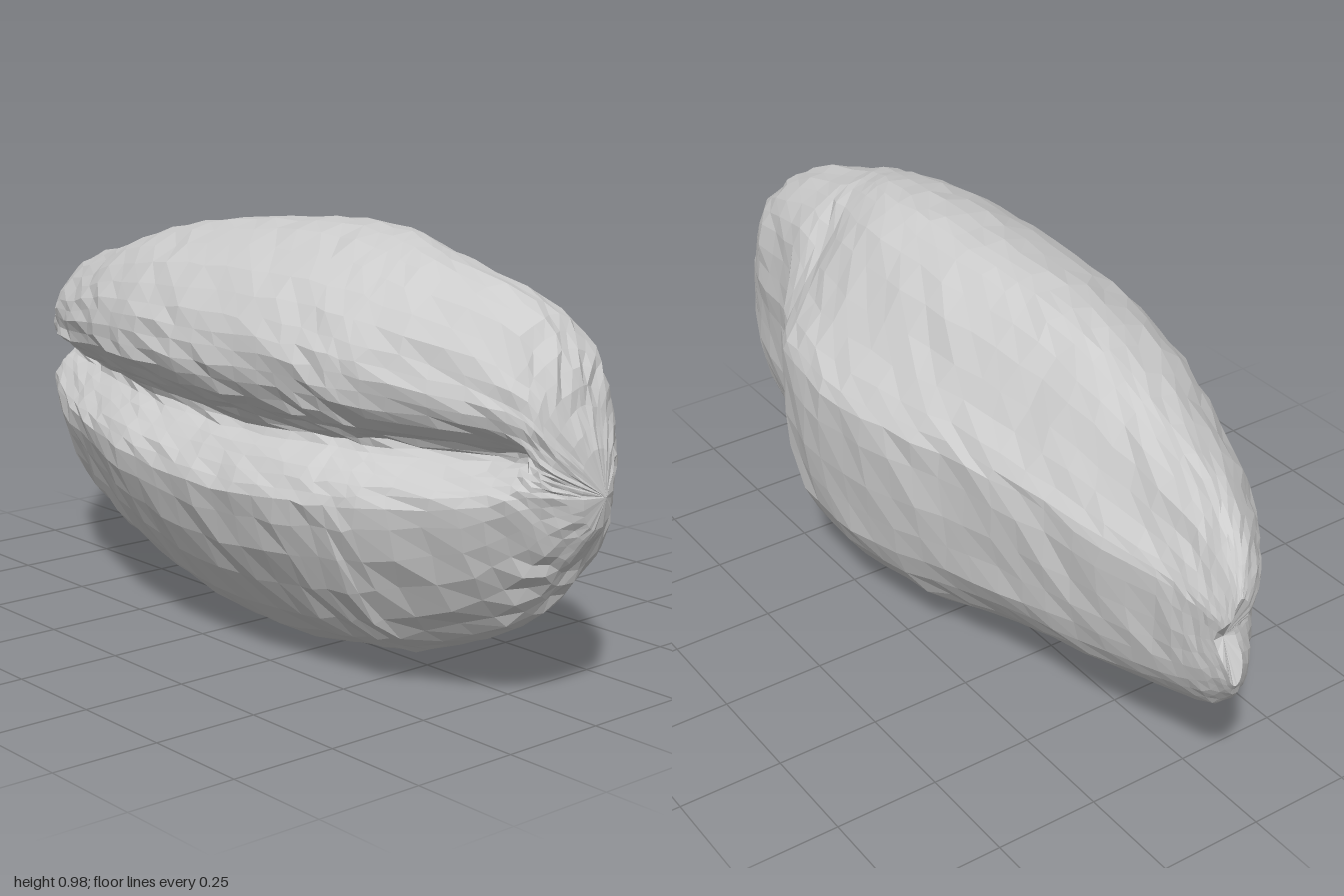
import * as THREE from 'three';

// Stations along the length: x, bottom y, top y, back z, front z
const stations = [
  [-0.995, 0.41, 0.63, -0.115, -0.06],
  [-0.965, 0.355, 0.675, -0.12, -0.01],
  [-0.9, 0.285, 0.735, -0.13, 0.045],
  [-0.8, 0.235, 0.785, -0.15, 0.115],
  [-0.6, 0.165, 0.84, -0.195, 0.215],
  [-0.4, 0.11, 0.9, -0.235, 0.285],
  [-0.2, 0.06, 0.938, -0.285, 0.338],
  [0, 0.012, 0.963, -0.342, 0.356],
  [0.2, 0, 0.974, -0.367, 0.362],
  [0.38, 0.022, 0.97, -0.345, 0.35],
  [0.5, 0.045, 0.947, -0.275, 0.325],
  [0.6, 0.075, 0.922, -0.215, 0.29],
  [0.8, 0.165, 0.86, -0.18, 0.205],
  [0.9, 0.27, 0.785, -0.135, 0.155],
  [0.945, 0.345, 0.69, -0.095, 0.115],
  [0.985, 0.41, 0.58, -0.045, 0.045],
];

// Unit cross-section (z, y): front with two rounded lips and a crease between
const front = [
  [0, 0], [0.28, 0.02], [0.6, 0.1], [0.88, 0.26], [1, 0.4], [0.95, 0.455],
  [0.84, 0.505], [0.7, 0.54], [0.74, 0.57], [0.87, 0.61], [0.97, 0.67], [0.98, 0.74],
  [0.9, 0.81], [0.68, 0.9], [0.32, 0.975], [0, 1],
];
// Back: a ridge along most of the length, a flat facet near the left end
const ridgeBack = [
  [-0.2, 0.985], [-0.45, 0.91], [-0.7, 0.785], [-0.92, 0.69], [-1, 0.62],
  [-0.98, 0.42], [-0.91, 0.25], [-0.67, 0.12], [-0.3, 0.02],
];
const flatBack = [
  [-0.3, 0.985], [-0.6, 0.94], [-0.83, 0.85], [-0.95, 0.72], [-1, 0.59],
  [-1, 0.42], [-0.94, 0.26], [-0.75, 0.12], [-0.38, 0.025],
];

const RINGS = 40, SIDES = 48;

function createBody() {
  const spline = (pts, closed) => new THREE.CatmullRomCurve3(pts, closed, 'catmullrom', 0.5);
  const outline = (back) => spline([...front, ...back].map(([z, y]) => new THREE.Vector3(0, y, z)), true);
  const heights = spline(stations.map(([x, b, t]) => new THREE.Vector3(x, b, t)), false);
  const depths = spline(stations.map(([x, , , b, f]) => new THREE.Vector3(x, b, f)), false);
  const ridged = outline(ridgeBack), flat = outline(flatBack);

  // Small seeded noise for the uneven facets
  let seed = 7;
  const jitter = (a) => {
    seed = (seed * 16807) % 2147483647;
    return (seed / 2147483647 - 0.5) * a;
  };

  const positions = [], index = [];
  for (let i = 0; i <= RINGS; i++) {
    const h = heights.getPoint(i / RINGS), d = depths.getPoint(i / RINGS);
    const mid = (d.y + d.z) / 2, half = (d.z - d.y) / 2;
    const rough = Math.min(1, half / 0.2);
    const flatness = THREE.MathUtils.smoothstep(h.x, 0.45, 0.6);
    // The crease keeps its depth towards the ends and closes at the left tip
    const crease = Math.min(1.9, 0.36 / half) * (1 - THREE.MathUtils.smoothstep(h.x, 0.86, 0.96));
    const notch = 0.045 * (1 - THREE.MathUtils.smoothstep(h.x, -0.98, -0.85));
    for (let j = 0; j < SIDES; j++) {
      const p = ridged.getPoint(j / SIDES).lerp(flat.getPoint(j / SIDES), flatness);
      if (p.z > 0.5 && p.y > 0.42 && p.y < 0.66) p.z = 1 - (1 - p.z) * crease;
      positions.push(
        h.x + notch * Math.exp(-(((p.y - 0.48) / 0.2) ** 2)) + jitter(0.024) * rough,
        h.y + (h.z - h.y) * p.y + jitter(0.008) * rough,
        mid + half * p.z + jitter(0.012) * rough,
      );
    }
  }
  for (let i = 0; i < RINGS; i++) {
    for (let j = 0; j < SIDES; j++) {
      const a = i * SIDES + j, b = i * SIDES + ((j + 1) % SIDES);
      index.push(a, a + SIDES, b, b, a + SIDES, b + SIDES);
    }
  }

  // Close both tips
  const first = positions.length / 3;
  positions.push(-0.95, 0.51, -0.09, 1, 0.48, -0.01);
  const last = RINGS * SIDES;
  for (let j = 0; j < SIDES; j++) {
    const k = (j + 1) % SIDES;
    index.push(first, j, k, first + 1, last + k, last + j);
  }

  const geometry = new THREE.BufferGeometry();
  geometry.setAttribute('position', new THREE.Float32BufferAttribute(positions, 3));
  geometry.setIndex(index);
  geometry.computeVertexNormals();
  return geometry;
}

export function createModel() {
  const group = new THREE.Group();
  group.name = 'creasedSeed';
  const body = new THREE.Mesh(
    createBody(),
    new THREE.MeshStandardMaterial({ color: 0xcccccc, flatShading: true }),
  );
  body.name = 'seedBody';
  group.add(body);
  return group;
}
